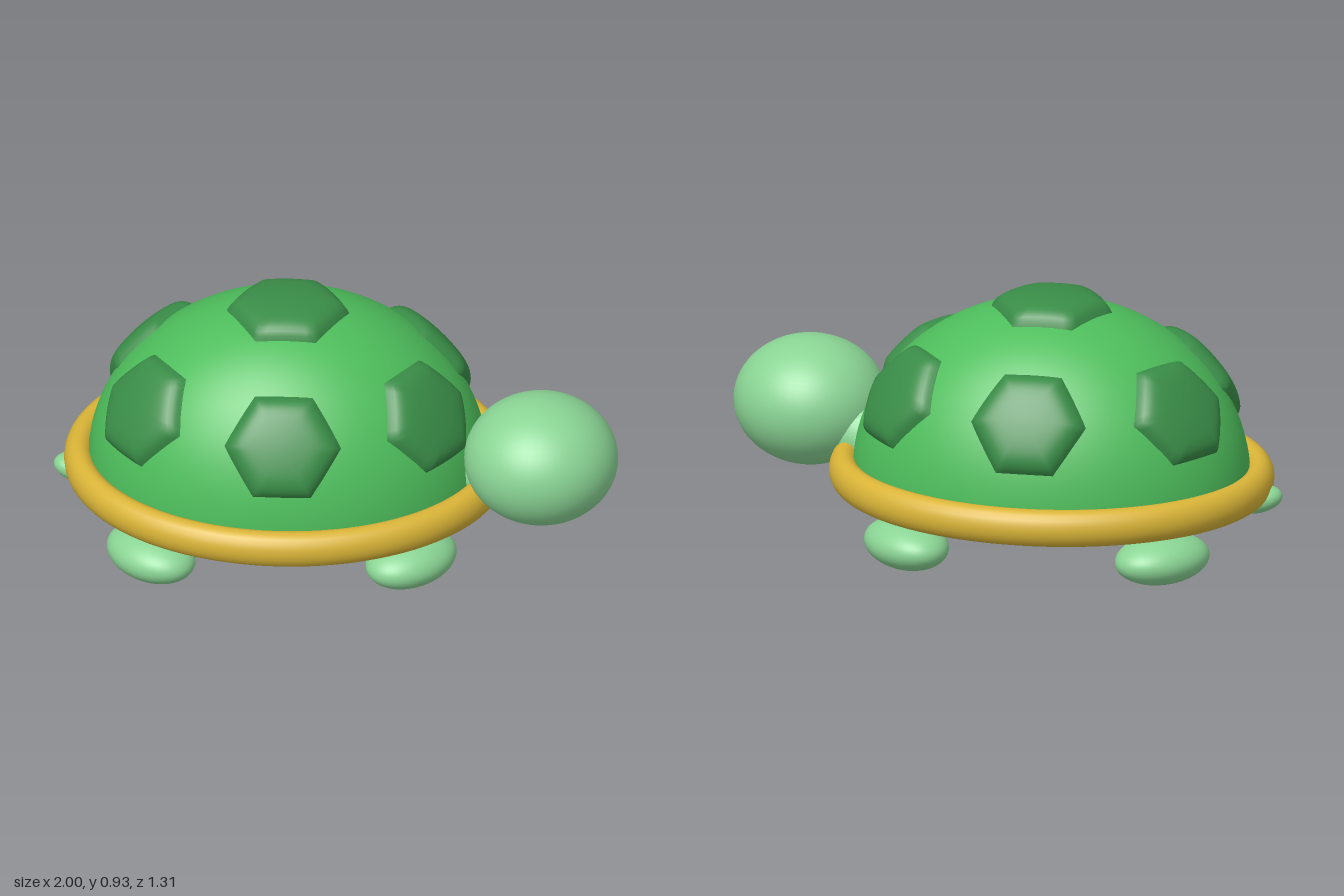
import * as THREE from 'three';
import { mergeVertices } from 'three/addons/utils/BufferGeometryUtils.js';

const material = (name, color, side = THREE.FrontSide) => {
  const m = new THREE.MeshStandardMaterial({ color, side });
  m.name = name;
  return m;
};

// Weld the seams of a reshaped geometry and smooth it
function smooth(geometry) {
  geometry.deleteAttribute('uv');
  geometry.deleteAttribute('normal');
  const welded = mergeVertices(geometry, 1e-5);
  welded.computeVertexNormals();
  return welded;
}

export function createModel() {
  const turtle = new THREE.Group();
  turtle.name = 'turtle';

  const skin = material('pale green skin', 0x8ad494);
  const shellGreen = material('shell green', 0x4dbd5b, THREE.DoubleSide);
  const spotGreen = material('dark spot green', 0x398c47, THREE.DoubleSide);
  const rimGold = material('rim gold', 0xd9b437);

  const add = (name, geometry, mat, parent = turtle) => {
    const mesh = new THREE.Mesh(geometry, mat);
    mesh.name = name;
    parent.add(mesh);
    return mesh;
  };
  const ellipsoid = (name, radii, position, parent = turtle) => {
    const mesh = add(name, new THREE.SphereGeometry(1, 48, 32), skin, parent);
    mesh.scale.set(...radii);
    mesh.position.set(...position);
    return mesh;
  };

  // Shell: an ellipsoid dome, with everything on it centred on its base
  const shell = new THREE.Group();
  shell.name = 'shell';
  shell.position.set(-0.175, 0.25, 0);
  turtle.add(shell);
  const axes = new THREE.Vector3(0.705, 0.64, 0.565);
  const dome = new THREE.SphereGeometry(1, 72, 36, 0, Math.PI * 2, 0, Math.PI * 0.53);
  dome.scale(axes.x, axes.y, axes.z);
  add('dome', dome, shellGreen, shell);

  // Raised hexagonal spot, wrapped over the dome around a direction
  function spotGeometry(direction, radius, height) {
    const centre = direction.clone().normalize().multiply(axes);
    const normal = centre.clone().divide(axes).divide(axes).normalize();
    const across = normal.y > 0.99
      ? new THREE.Vector3(1, 0, 0)
      : new THREE.Vector3(0, 1, 0).cross(normal).normalize();
    const up = normal.clone().cross(across);
    const geometry = new THREE.RingGeometry(0, 1, 48, 14);
    const pos = geometry.attributes.position;
    for (let i = 0; i < pos.count; i++) {
      const x = pos.getX(i), y = pos.getY(i);
      const t = Math.hypot(x, y);
      const angle = (Math.atan2(y, x) + Math.PI * 2) % (Math.PI / 3);
      const r = radius * Math.cos(Math.PI / 6) / Math.cos(angle - Math.PI / 6);
      const p = centre.clone().addScaledVector(across, x * r).addScaledVector(up, y * r);
      p.divide(axes).normalize().multiply(axes);
      const n = p.clone().divide(axes).divide(axes).normalize();
      p.addScaledVector(n, height * (1 - t ** 7) - 0.003);
      pos.setXYZ(i, p.x, p.y, p.z);
    }
    return smooth(geometry);
  }
  add('topSpot', spotGeometry(new THREE.Vector3(0, 1, 0), 0.23, 0.043), spotGreen, shell);
  for (let i = 0; i < 6; i++) {
    const a = Math.PI / 6 + i * Math.PI / 3;
    const direction = new THREE.Vector3(0.84 * Math.cos(a), 0.54, 0.84 * Math.sin(a));
    add('sideSpot', spotGeometry(direction, 0.218, 0.04), spotGreen, shell);
  }

  // Rim: a torus stretched to an oval with an even, upright oval section
  const rim = new THREE.TorusGeometry(1, 0.5, 20, 96);
  const pos = rim.attributes.position;
  for (let i = 0; i < pos.count; i++) {
    const x = pos.getX(i), y = pos.getY(i);
    const u = Math.atan2(y, x);
    const out = 0.052 * (Math.hypot(x, y) - 1) / 0.5;
    pos.setXYZ(i, (0.738 + out) * Math.cos(u), (0.601 + out) * Math.sin(u), pos.getZ(i) / 0.5 * 0.067);
  }
  rim.rotateX(-Math.PI / 2);
  add('rim', smooth(rim), rimGold, shell);

  // Body
  ellipsoid('belly', [0.665, 0.16, 0.525], [-0.175, 0.25, 0]);
  ellipsoid('head', [0.272, 0.23, 0.262], [0.727, 0.402, 0.202]);

  // Neck, running from inside the shell to the turned head
  const from = new THREE.Vector3(0.28, 0.25, 0.03);
  const to = new THREE.Vector3(0.7, 0.36, 0.18);
  const neck = add('neck', new THREE.CylinderGeometry(0.13, 0.13, from.distanceTo(to), 32), skin);
  neck.position.copy(from).lerp(to, 0.5);
  neck.quaternion.setFromUnitVectors(new THREE.Vector3(0, 1, 0), to.clone().sub(from).normalize());

  // Feet, each turned across its corner
  for (const [name, x, sx] of [['frontFoot', 0.275, 1], ['hindFoot', -0.642, -1]]) {
    for (const sz of [1, -1]) {
      const foot = ellipsoid(name, [0.182, 0.087, 0.132], [x, 0.09, sz * 0.388]);
      foot.rotation.y = sx * sz * Math.PI / 4;
    }
  }

  // Tail
  const tail = ellipsoid('tail', [0.095, 0.05, 0.065], [-0.908, 0.197, 0]);
  tail.rotation.z = -0.2;

  return turtle;
}
